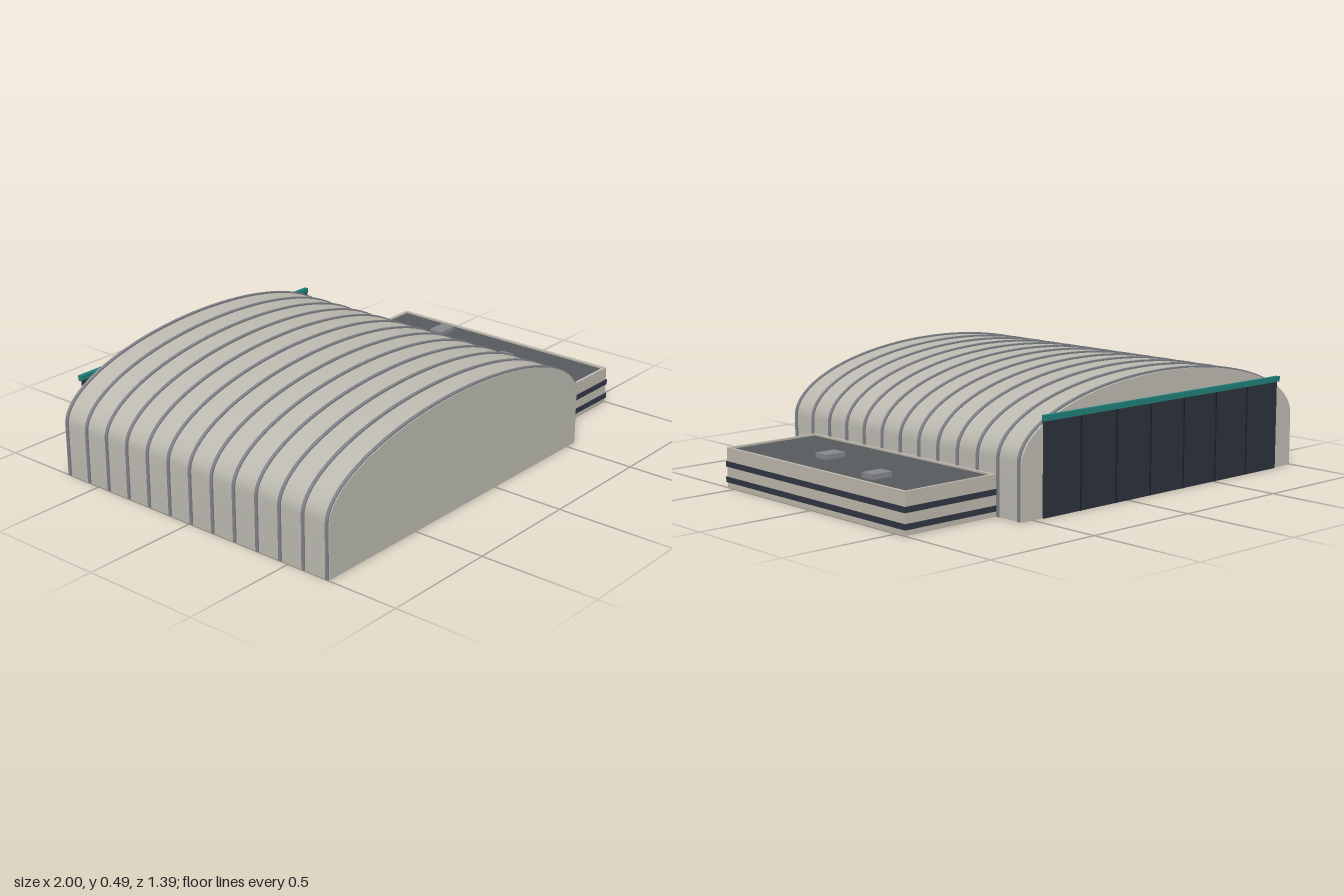
import * as THREE from 'three';
import { toCreasedNormals } from 'three/addons/utils/BufferGeometryUtils.js';

const mat = (name, color) => {
  const m = new THREE.MeshStandardMaterial({ color });
  m.name = name;
  return m;
};

export function createModel() {
  const cladding = mat('pale cladding', 0xbcbab0);
  const plaster = mat('office plaster', 0xbfb9ad);
  const ribGrey = mat('rib grey', 0x808188);
  const roofGrey = mat('roof grey', 0x565a5e);
  const unitGrey = mat('roof unit grey', 0x85878a);
  const glass = mat('dark glass', 0x303644);
  const door = mat('door navy', 0x2b313c);
  const seam = mat('door seam', 0x1b1f27);
  const teal = mat('teal rail', 0x1f7f78);

  const group = new THREE.Group();
  group.name = 'hangar';
  const add = (name, geometry, material, x, y, z) => {
    const mesh = new THREE.Mesh(geometry, material);
    mesh.name = name;
    mesh.position.set(x, y, z);
    group.add(mesh);
    return mesh;
  };
  const box = (name, material, x0, x1, y0, y1, z0, z1) =>
    add(name, new THREE.BoxGeometry(x1 - x0, y1 - y0, z1 - z0), material,
      (x0 + x1) / 2, (y0 + y1) / 2, (z0 + z1) / 2);

  // Arch outline: straight walls below half an ellipse
  const CX = -0.22, SPRING = 0.22;
  const outline = (a, b) => {
    const points = [new THREE.Vector2(a, 0)];
    for (let i = 0; i <= 48; i++) {
      const t = (Math.PI * i) / 48;
      points.push(new THREE.Vector2(a * Math.cos(t), SPRING + b * Math.sin(t)));
    }
    points.push(new THREE.Vector2(-a, 0));
    return points;
  };
  const extrude = (points, depth) => toCreasedNormals(
    new THREE.ExtrudeGeometry(new THREE.Shape(points), { depth, bevelEnabled: false }), 0.5);

  // Vaulted hall
  add('hallShell', extrude(outline(0.774, 0.262), 1.378), cladding, CX, 0, -0.684);

  // Roof ribs
  const ribPoints = [...outline(0.78, 0.269), ...outline(0.77, 0.258).reverse()];
  const ribGeometry = extrude(ribPoints, 0.013);
  for (let i = 0; i < 13; i++) {
    add('rib', ribGeometry, ribGrey, CX, 0, -0.675 + i * 0.1127);
  }

  // Sliding doors with seams, and the rail above
  const D0 = -0.89, D1 = 0.45, PANELS = 7;
  box('hangarDoors', door, D0, D1, 0, 0.37, -0.692, -0.683);
  for (let i = 1; i < PANELS; i++) {
    const x = D0 + ((D1 - D0) * i) / PANELS;
    box('doorSeam', seam, x - 0.003, x + 0.003, 0, 0.37, -0.694, -0.691);
  }
  box('doorRail', teal, -0.897, 0.455, 0.367, 0.389, -0.701, -0.683);

  // Side office block with parapet
  const X0 = 0.55, X1 = 0.996, Z0 = -0.547, Z1 = 0.555, TOP = 0.162, P = 0.012;
  box('officeBlock', plaster, X0, X1, 0, 0.15, Z0, Z1);
  box('officeRoof', roofGrey, X0 + P, X1 - P, 0.149, 0.155, Z0 + P, Z1 - P);
  box('parapetOuter', plaster, X1 - P, X1, 0.15, TOP, Z0, Z1);
  box('parapetInner', plaster, 0.558, 0.558 + P, 0.15, TOP, Z0, Z1);
  box('parapetFront', plaster, X0 + P, X1 - P, 0.15, TOP, Z1 - P, Z1);
  box('parapetBack', plaster, X0 + P, X1 - P, 0.15, TOP, Z0, Z0 + P);

  // Window bands wrapping the three free sides
  for (const y of [0.021, 0.084]) {
    box('windowBandSide', glass, X1 - 0.002, 1, y, y + 0.022, Z0 - 0.004, Z1 + 0.004);
    box('windowBandFront', glass, 0.556, X1 - 0.002, y, y + 0.022, Z1 - 0.002, Z1 + 0.004);
    box('windowBandBack', glass, 0.556, X1 - 0.002, y, y + 0.022, Z0 - 0.004, Z0 + 0.002);
  }

  // Rooftop units
  for (const [x, z] of [[0.893, -0.262], [0.795, 0.145]]) {
    box('roofUnit', unitGrey, x - 0.046, x + 0.046, 0.15, 0.175, z - 0.033, z + 0.033);
  }

  return group;
}
